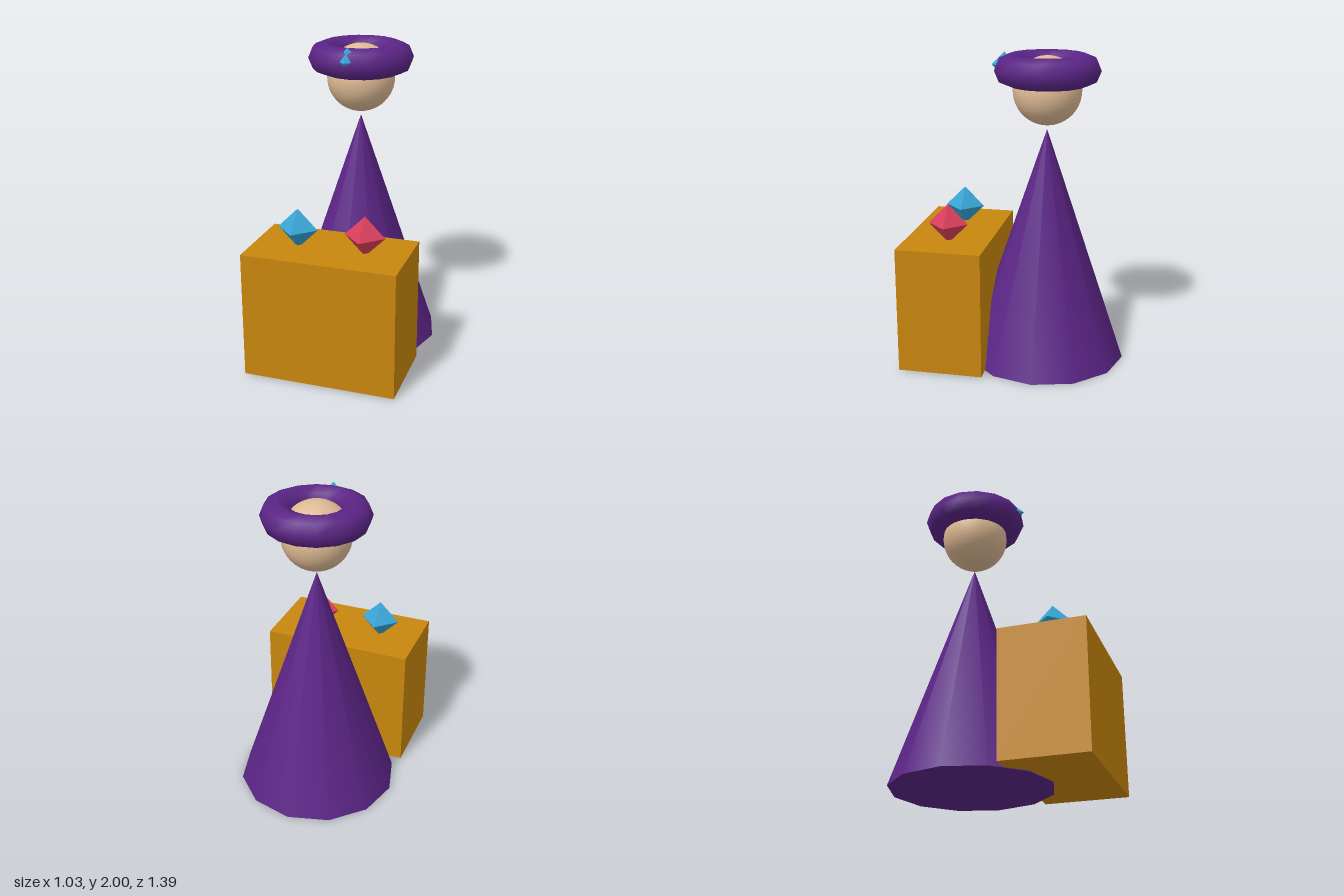
import * as THREE from 'three';

const CENTRE_Z = -0.177; // axis of the robed figure
const BOX_Z = 0.421;     // middle of the counter

function material(name, color, flatShading = false) {
  const m = new THREE.MeshStandardMaterial({ color, flatShading });
  m.name = name;
  return m;
}

export function createModel() {
  const model = new THREE.Group();
  model.name = 'gemMerchant';

  const purple = material('purpleCloth', 0x5b2486);
  const skin = material('skin', 0xdeba94);
  const gold = material('goldenWood', 0xc8860d);
  const blue = material('blueGem', 0x38a5d6, true);
  const red = material('redGem', 0xd83e5c, true);

  const add = (name, geometry, mat, x, y, z) => {
    const mesh = new THREE.Mesh(geometry, mat);
    mesh.name = name;
    mesh.position.set(x, y, z);
    model.add(mesh);
    return mesh;
  };

  // Figure: conical robe, round head and ring-shaped turban
  add('robe', new THREE.ConeGeometry(0.517, 1.52, 12), purple, 0, 0.76, CENTRE_Z);
  add('head', new THREE.SphereGeometry(0.217, 32, 24), skin, 0, 1.765, CENTRE_Z);
  const turban = new THREE.TorusGeometry(0.238, 0.098, 8, 16).rotateX(Math.PI / 2);
  add('turban', turban, purple, 0, 1.894, CENTRE_Z);

  // Jewel half sunk into the turban's front
  add('turbanJewel', new THREE.OctahedronGeometry(0.0815), blue, 0, 1.9185, 0.097);

  // Counter with a gem on each side
  add('counter', new THREE.BoxGeometry(0.978, 0.815, 0.544), gold, 0, 0.4125, BOX_Z);
  for (const [name, mat, side] of [['rightGem', blue, -1], ['leftGem', red, 1]]) {
    add(name, new THREE.OctahedronGeometry(0.129), mat, side * 0.217, 0.926, BOX_Z);
  }

  return model;
}
